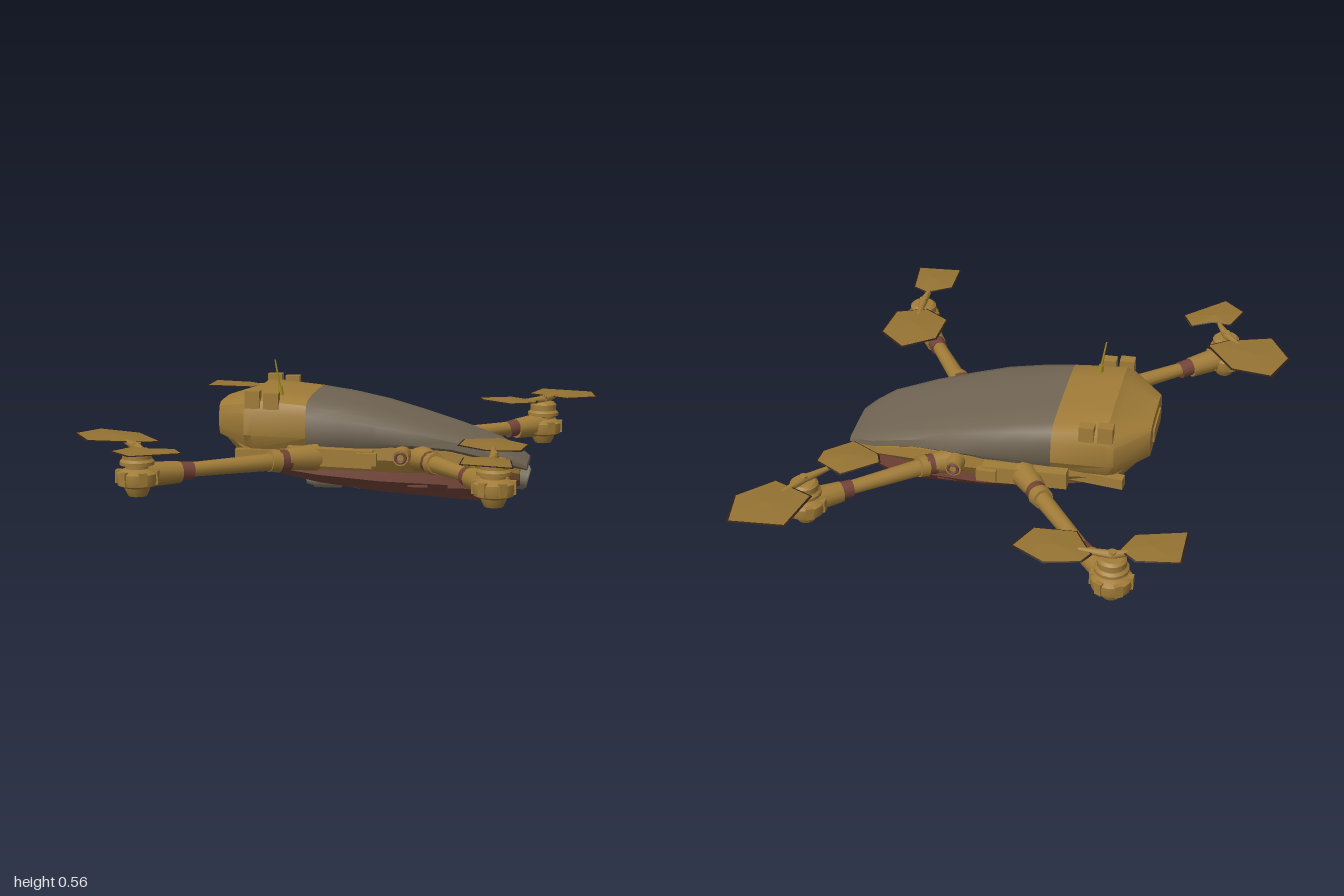
import * as THREE from 'three';
import { toCreasedNormals } from 'three/addons/utils/BufferGeometryUtils.js';

const mat = (name, color, side = THREE.FrontSide) => {
  const m = new THREE.MeshStandardMaterial({ color, side });
  m.name = name;
  return m;
};

export function createModel() {
  const ochre = mat('ochre', 0xa17c38);
  const bladeOchre = mat('bladeOchre', 0x947232, THREE.DoubleSide);
  const rimDark = mat('rimDark', 0x2e1f16, THREE.DoubleSide);
  const grey = mat('canopyGrey', 0x726654);
  const brown = mat('bellyBrown', 0x744438);
  const steel = mat('payloadGrey', 0x7f7864);
  const dark = mat('lensDark', 0x3a332c);
  const yellow = mat('antennaYellow', 0xa08a1e);

  const model = new THREE.Group();
  model.name = 'quadcopter';
  const body = new THREE.Group();
  body.name = 'body';
  body.position.z = -0.045;
  model.add(body);

  const add = (parent, name, geo, material, x = 0, y = 0, z = 0) => {
    const m = new THREE.Mesh(geo, material);
    m.name = name;
    m.position.set(x, y, z);
    parent.add(m);
    return m;
  };
  const box = (parent, name, w, h, d, material, x, y, z) =>
    add(parent, name, new THREE.BoxGeometry(w, h, d), material, x, y, z);

  // Skin of quads through mirrored cross-sections along x; half = [z, y] from bottom to top
  const loft = (sections, crease) => {
    const rings = sections.map(([x, half]) => [
      ...half.map(([z, y]) => new THREE.Vector3(x, y, z)),
      ...half.slice().reverse().map(([z, y]) => new THREE.Vector3(x, y, -z))]);
    const n = rings[0].length, pos = [];
    const tri = (...v) => v.forEach(p => pos.push(p.x, p.y, p.z));
    for (let i = 0; i + 1 < rings.length; i++) {
      for (let j = 0; j < n; j++) {
        const k = (j + 1) % n, a = rings[i][j], b = rings[i][k], c = rings[i + 1][k], d = rings[i + 1][j];
        tri(a, d, c);
        tri(a, c, b);
      }
    }
    const first = rings[0], last = rings[rings.length - 1];
    for (let j = 1; j + 1 < n; j++) {
      tri(first[0], first[j], first[j + 1]);
      tri(last[0], last[j + 1], last[j]);
    }
    const g = new THREE.BufferGeometry();
    g.setAttribute('position', new THREE.Float32BufferAttribute(pos, 3));
    return toCreasedNormals(g, crease);
  };

  // Upper shell: width, bottom and top at each station
  const shell = ([x, w, y0, y1]) => {
    const h = y1 - y0;
    return [x, [[w * 0.9, y0], [w, y0 + h * 0.25], [w * 0.99, y0 + h * 0.68],
      [w * 0.91, y0 + h * 0.88], [w * 0.77, y0 + h * 0.97], [w * 0.4, y1]]];
  };
  add(body, 'rearShell', loft([[-0.515, 0.15, 0.25, 0.38], [-0.39, 0.272, 0.22, 0.415],
    [-0.36, 0.275, 0.21, 0.435], [-0.14, 0.277, 0.21, 0.412]].map(shell), 0.5), ochre);
  add(body, 'canopy', loft([[-0.14, 0.277, 0.21, 0.412], [0, 0.278, 0.21, 0.39], [0.14, 0.275, 0.21, 0.36],
    [0.28, 0.255, 0.21, 0.322], [0.44, 0.23, 0.205, 0.275], [0.61, 0.197, 0.165, 0.218],
    [0.68, 0.155, 0.14, 0.185], [0.73, 0.118, 0.125, 0.15]].map(shell), 0.7), grey);

  // Middle chassis and belly
  const slab = ([x, wTop, wLow, y0, y1]) => [x, [[wLow, y0], [wTop, (y0 + y1) / 2], [wTop * 0.98, y1]]];
  add(body, 'chassis', loft([[-0.49, 0.14, 0.12, 0.235, 0.27], [-0.38, 0.24, 0.19, 0.14, 0.25],
    [-0.1, 0.265, 0.23, 0.13, 0.24], [0.2, 0.262, 0.23, 0.125, 0.23], [0.42, 0.235, 0.2, 0.12, 0.215],
    [0.6, 0.19, 0.16, 0.11, 0.17], [0.7, 0.12, 0.1, 0.09, 0.135]].map(slab), 0.3), ochre);
  add(body, 'belly', loft([[-0.35, 0.17, 0.14, 0.11, 0.15], [-0.1, 0.22, 0.17, 0.065, 0.145],
    [0.15, 0.23, 0.17, 0.035, 0.14], [0.54, 0.19, 0.14, 0.003, 0.135], [0.64, 0.15, 0.1, 0.03, 0.125],
    [0.7, 0.1, 0.07, 0.055, 0.11]].map(slab), 0.3), brown);

  // Fittings mirrored on both flanks
  for (const s of [1, -1]) {
    box(body, 'shellLug', 0.06, 0.07, 0.045, ochre, -0.355, 0.41, s * 0.25);
    box(body, 'shellLug', 0.06, 0.065, 0.045, ochre, -0.28, 0.405, s * 0.25);
    box(body, 'sidePod', 0.34, 0.07, 0.06, ochre, -0.04, 0.19, s * 0.275).rotation.z = -0.03;
    box(body, 'sidePodCap', 0.08, 0.05, 0.03, ochre, 0.11, 0.19, s * 0.31);
    box(body, 'sideRail', 0.26, 0.045, 0.04, ochre, -0.3, 0.185, s * 0.23).rotation.y = s * 0.12;
    const port = add(body, 'sidePort', new THREE.CylinderGeometry(0.033, 0.038, 0.07, 12), ochre, 0.245, 0.2, s * 0.28);
    port.rotation.x = s * Math.PI / 2;
    const ring = add(body, 'sidePortRing', new THREE.TorusGeometry(0.02, 0.006, 6, 14), brown, 0.245, 0.2, s * 0.317);
    ring.rotation.y = s > 0 ? 0 : Math.PI;
    for (const x of [0.3, 0.46]) box(body, 'bellyVent', 0.08, 0.035, 0.02, brown, x, 0.08, s * 0.195);
    // Payload canisters slung below
    for (const x of [-0.085, 0.08]) {
      const can = add(body, 'payload', new THREE.CylinderGeometry(0.036, 0.036, 0.11, 10), steel, x, 0.056, s * 0.045);
      can.rotation.z = Math.PI / 2;
      const cap = add(body, 'payloadCap', new THREE.CylinderGeometry(0.022, 0.03, 0.03, 10), steel, x * 1.85, 0.056, s * 0.045);
      cap.rotation.z = x < 0 ? Math.PI / 2 : -Math.PI / 2;
    }
  }
  box(body, 'payloadMount', 0.26, 0.05, 0.07, steel, 0, 0.07, 0);
  box(body, 'rearPanel', 0.02, 0.06, 0.16, ochre, -0.512, 0.31, 0);

  // Nose camera, tipped slightly downwards
  const camera = new THREE.Group();
  camera.name = 'noseCamera';
  camera.position.set(0.69, 0.083, 0);
  camera.rotation.z = -Math.PI / 2 - 0.25;
  body.add(camera);
  const housing = add(camera, 'cameraHousing', new THREE.CylinderGeometry(0.062, 0.075, 0.07, 14), steel);
  housing.scale.set(0.8, 1, 1.1);
  add(camera, 'cameraRing', new THREE.TorusGeometry(0.036, 0.008, 6, 18).rotateX(Math.PI / 2), steel, 0, 0.036, 0);
  add(camera, 'lens', new THREE.CylinderGeometry(0.024, 0.028, 0.012, 14), dark, 0, 0.037, 0);

  // Antenna
  const mast = (name, r0, r1, a, b, material, parent = model) => {
    const from = new THREE.Vector3(...a), dir = new THREE.Vector3(...b).sub(from);
    const m = add(parent, name, new THREE.CylinderGeometry(r1, r0, dir.length(), 12), material);
    m.position.copy(from).addScaledVector(dir, 0.5);
    m.quaternion.setFromUnitVectors(new THREE.Vector3(0, 1, 0), dir.normalize());
    return m;
  };
  mast('antennaBase', 0.012, 0.009, [-0.255, 0.41, 0.125], [-0.26, 0.455, 0.125], yellow);
  mast('antenna', 0.005, 0.003, [-0.26, 0.45, 0.125], [-0.278, 0.56, 0.13], yellow);

  // Rotor blade: shallow dished polygon with a dark rim; outline in x, z
  const blade = (outline, mx, mz, parent) => {
    const n = outline.length;
    const cx = outline.reduce((t, p) => t + p[0], 0) / n, cz = outline.reduce((t, p) => t + p[1], 0) / n;
    const point = (p, k, lift) => {
      const x = cx + (p[0] - cx) * k, z = cz + (p[1] - cz) * k;
      return [x, 0.308 - 0.045 * (x - mx) + 0.02 * (z - mz) + lift, z];
    };
    const band = (k0, k1, l0, l1) => {
      const pos = [], idx = [];
      for (const p of outline) pos.push(...point(p, k0, l0), ...point(p, k1, l1));
      for (let i = 0; i < n; i++) {
        const a = 2 * i, b = 2 * ((i + 1) % n);
        idx.push(a, b, a + 1, b, b + 1, a + 1);
      }
      // Outlines may run either way round; keep the upper side in front
      const area = outline.reduce((t, p, i) => {
        const q = outline[(i + 1) % n];
        return t + p[0] * q[1] - q[0] * p[1];
      }, 0);
      if (area > 0) idx.reverse();
      const g = new THREE.BufferGeometry();
      g.setAttribute('position', new THREE.Float32BufferAttribute(pos, 3));
      g.setIndex(idx);
      g.computeVertexNormals();
      return g;
    };
    add(parent, 'blade', band(0.94, 0, 0, 0.01), bladeOchre);
    add(parent, 'bladeRim', band(1, 0.94, -0.003, 0), rimDark);
  };

  // Motor profile, radius and height
  const profile = [[0, 0.11], [0.035, 0.112], [0.045, 0.13], [0.05, 0.145], [0.075, 0.155], [0.08, 0.175],
    [0.078, 0.2], [0.06, 0.212], [0.045, 0.218], [0.045, 0.228], [0.066, 0.232], [0.066, 0.245],
    [0.056, 0.255], [0.056, 0.28], [0.045, 0.29], [0.016, 0.292], [0.016, 0.315], [0, 0.318]]
    .map(p => new THREE.Vector2(...p));
  const motorGeo = toCreasedNormals(new THREE.LatheGeometry(profile, 16), 0.6);

  // Arms: mount, root, knee and motor in x, z, with two blades each
  const arms = [
    { mount: [-0.03, -0.31], root: [-0.12, -0.44], knee: [-0.37, -0.77], motor: [-0.49, -0.9], blades: [
      [[-0.75, -0.925], [-0.58, -0.94], [-0.51, -0.88], [-0.55, -0.78], [-0.75, -0.735]],
      [[-0.39, -0.97], [-0.25, -0.995], [-0.11, -0.91], [-0.17, -0.79], [-0.34, -0.79], [-0.42, -0.92]]] },
    { mount: [0.24, -0.26], root: [0.36, -0.34], knee: [0.63, -0.57], motor: [0.755, -0.68], blades: [
      [[0.73, -0.99], [0.96, -0.995], [0.985, -0.83], [0.855, -0.71], [0.685, -0.79]],
      [[0.485, -0.545], [0.62, -0.645], [0.74, -0.57], [0.735, -0.5], [0.63, -0.415], [0.505, -0.49]]] },
    { mount: [-0.1, 0.22], root: [-0.23, 0.33], knee: [-0.55, 0.59], motor: [-0.7, 0.715], blades: [
      [[-0.93, 0.4], [-0.755, 0.435], [-0.63, 0.61], [-0.71, 0.66], [-0.9, 0.705], [-0.99, 0.55]],
      [[-0.71, 0.78], [-0.63, 0.795], [-0.54, 0.75], [-0.495, 0.835], [-0.665, 0.985], [-0.755, 0.9]]] },
    { mount: [0.31, 0.17], root: [0.375, 0.29], knee: [0.54, 0.55], motor: [0.645, 0.72], blades: [
      [[0.64, 0.325], [0.76, 0.435], [0.74, 0.61], [0.61, 0.65], [0.495, 0.57], [0.505, 0.41]],
      [[0.645, 0.78], [0.715, 0.82], [0.735, 0.995], [0.54, 0.995], [0.54, 0.835]]] },
  ];
  for (const { mount, root, knee, motor, blades } of arms) {
    const arm = new THREE.Group();
    arm.name = 'rotorArm';
    model.add(arm);
    const at = (a, b, t, y) => [a[0] + (b[0] - a[0]) * t, y, a[1] + (b[1] - a[1]) * t];
    const rod = (name, r0, r1, a, b, t0, t1, material) =>
      mast(name, r0, r1, at(a, b, t0, 0.185), at(a, b, t1, 0.19), material, arm);
    rod('armMount', 0.055, 0.042, mount, root, 0, 0.8, ochre);
    rod('rootCollar', 0.042, 0.042, mount, root, 0.72, 1.02, brown);
    rod('rootRing', 0.046, 0.042, root, knee, 0, 0.1, ochre);
    rod('armTube', 0.035, 0.028, root, knee, 0, 1, ochre);
    rod('kneeCollar', 0.036, 0.036, root, knee, 0.92, 1.06, brown);
    rod('motorBracket', 0.042, 0.05, knee, motor, 0.1, 0.85, ochre);
    add(arm, 'motor', motorGeo, ochre, motor[0], 0, motor[1]);
    // Ring of cooling lugs round the motor, and blade clamps
    for (let i = 0; i < 6; i++) {
      const a = i * Math.PI / 3;
      box(arm, 'motorLug', 0.025, 0.05, 0.03, ochre, motor[0] + 0.07 * Math.cos(a), 0.185, motor[1] + 0.07 * Math.sin(a)).rotation.y = -a;
    }
    for (const outline of blades) {
      blade(outline, ...motor, arm);
      const c = outline.reduce((t, p) => [t[0] + p[0] / outline.length, t[1] + p[1] / outline.length], [0, 0]);
      mast('bladeClamp', 0.018, 0.009, [motor[0], 0.298, motor[1]], at(motor, c, 0.6, 0.303), ochre, arm);
    }
  }
  return model;
}
